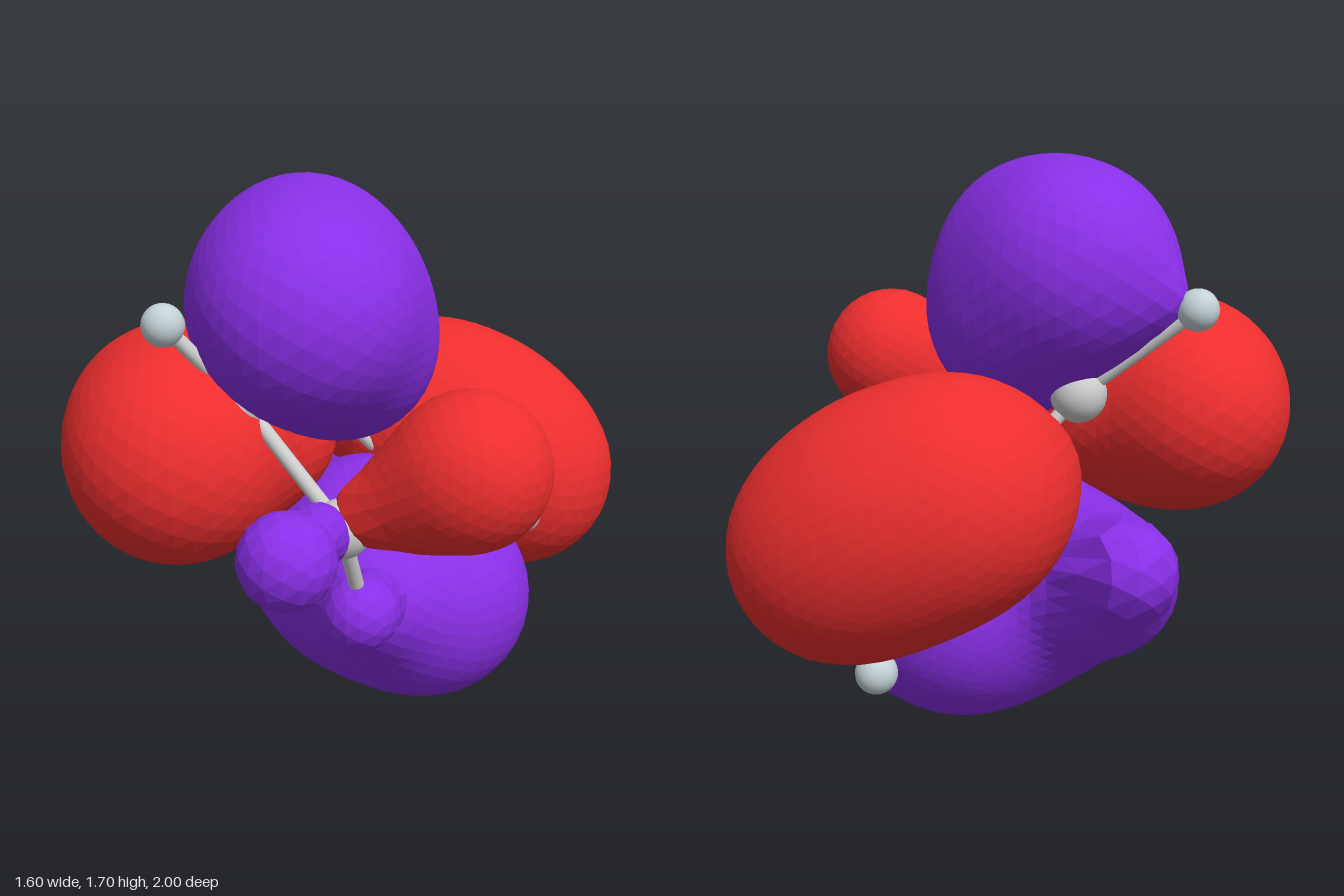
import * as THREE from 'three';

const red = new THREE.MeshStandardMaterial({ color: 0xee2e2e, flatShading: true });
const purple = new THREE.MeshStandardMaterial({ color: 0x8a2fe8, flatShading: true });
const pale = new THREE.MeshStandardMaterial({ color: 0xc3d2d6 });
const grey = new THREE.MeshStandardMaterial({ color: 0xcccccc });

// Smoothly blended distance to a set of balls [x, y, z, radius]
function blend(p, balls, k) {
  let sum = 0;
  for (const [x, y, z, r] of balls) {
    sum += Math.exp(-(Math.hypot(p.x - x, p.y - y, p.z - z) - r) / k);
  }
  return -k * Math.log(sum);
}

// Faceted lobe: a sphere shrunk along its rays onto the blended balls
function lobe(name, material, centre, detail, softness, balls) {
  const geo = new THREE.IcosahedronGeometry(1, detail);
  const pos = geo.attributes.position;
  const c = new THREE.Vector3(...centre);
  const dir = new THREE.Vector3();
  const p = new THREE.Vector3();
  for (let i = 0; i < pos.count; i++) {
    dir.fromBufferAttribute(pos, i).normalize();
    let t = 1.1;
    for (let s = 0; s < 80; s++) {
      const d = blend(p.copy(c).addScaledVector(dir, t), balls, softness);
      if (d < 0.0008 || t < 0.02) break;
      t -= d;
    }
    p.copy(c).addScaledVector(dir, Math.max(t, 0.02));
    pos.setXYZ(i, p.x, p.y, p.z);
  }
  geo.computeVertexNormals();
  const mesh = new THREE.Mesh(geo, material);
  mesh.name = name;
  return mesh;
}

function atom(name, position, radius, material) {
  const mesh = new THREE.Mesh(new THREE.SphereGeometry(radius, 24, 16), material);
  mesh.position.set(...position);
  mesh.name = name;
  return mesh;
}

function bond(from, to) {
  const a = new THREE.Vector3(...from);
  const b = new THREE.Vector3(...to);
  const mesh = new THREE.Mesh(new THREE.CylinderGeometry(0.022, 0.022, a.distanceTo(b), 12), grey);
  mesh.position.copy(a).lerp(b, 0.5);
  mesh.quaternion.setFromUnitVectors(new THREE.Vector3(0, 1, 0), b.sub(a).normalize());
  mesh.name = 'bond';
  return mesh;
}

export function createModel() {
  const model = new THREE.Group();
  model.name = 'molecularOrbital';

  // Large lobes
  model.add(
    lobe('upperLobe', purple, [-0.07, 1.33, 0.1], 9, 0.07, [
      [-0.07, 1.33, 0.1, 0.335], [0.04, 1.35, 0.33, 0.29], [-0.18, 1.37, -0.13, 0.285],
      [0.07, 1.18, 0.06, 0.2], [0, 1.17, -0.1, 0.18], [0, 1.05, 0, 0.06],
      [-0.46, 1.29, -0.19, 0.02],
    ]),
    lobe('sideLobe', red, [-0.42, 0.91, 0.22], 9, 0.07, [
      [-0.33, 0.915, 0.43, 0.31], [-0.46, 0.91, 0.22, 0.315], [-0.53, 0.93, 0, 0.24],
      [-0.25, 0.88, 0.12, 0.19], [-0.12, 0.9, 0.06, 0.08],
    ]),
    lobe('rearLobe', red, [0.2, 0.73, -0.63], 9, 0.07, [
      [0.05, 0.8, -0.64, 0.315], [0.24, 0.72, -0.65, 0.32], [0.39, 0.62, -0.65, 0.295],
      [0.01, 0.8, -0.5, 0.16], [-0.12, 0.83, -0.42, 0.07],
    ]),
    lobe('lowerLobe', purple, [0, 0.42, -0.17], 11, 0.06, [
      [0.25, 0.345, -0.15, 0.312], [0.13, 0.335, -0.25, 0.3], [0, 0.39, -0.13, 0.305],
      [-0.2, 0.45, -0.2, 0.23], [-0.33, 0.49, -0.38, 0.19], [-0.42, 0.6, -0.57, 0.13],
      [0.04, 0.54, -0.01, 0.2], [0.2, 0.44, 0.14, 0.15], [0.04, 0.68, -0.14, 0.06],
    ]),
  );

  // Small lobes around the front end
  model.add(
    lobe('frontSideLobe', red, [0.56, 0.98, 0.42], 5, 0.035, [
      [0.575, 0.995, 0.42, 0.222], [0.43, 0.91, 0.45, 0.145], [0.29, 0.85, 0.49, 0.09],
    ]),
    lobe('frontBud', purple, [0.24, 0.845, 0.865], 2, 0.03, [
      [0.24, 0.845, 0.865, 0.132], [0.23, 0.83, 0.71, 0.06],
    ]),
    lobe('frontBudRoot', purple, [0.2, 0.81, 0.6], 2, 0.03, [
      [0.2, 0.81, 0.59, 0.09], [0.23, 0.83, 0.7, 0.06],
    ]),
    lobe('lowerBud', purple, [0.24, 0.5, 0.38], 2, 0.03, [
      [0.24, 0.5, 0.385, 0.112], [0.22, 0.47, 0.22, 0.11],
    ]),
  );

  // Carbon chain, each with its hydrogens
  const chain = [
    [[0.24, 0.81, 0.52], [[0.24, 0.85, 0.87], [0.24, 0.48, 0.36], [0.58, 0.99, 0.42]]],
    [[-0.12, 1.1, 0.41], [[-0.295, 1.335, 0.54]]],
    [[-0.2, 1.0, -0.17], [[-0.55, 1.265, -0.19]]],
    [[0.2, 0.54, -0.4], [[0.525, 0.64, -0.225], [0.3, 0.245, -0.6], [0, 0.64, -0.68]]],
  ];
  chain.forEach(([carbon, hydrogens], i) => {
    model.add(atom('carbon', carbon, 0.085, grey));
    for (const h of hydrogens) model.add(atom('hydrogen', h, 0.062, pale), bond(carbon, h));
    if (i > 0) model.add(bond(chain[i - 1][0], carbon));
  });

  return model;
}
